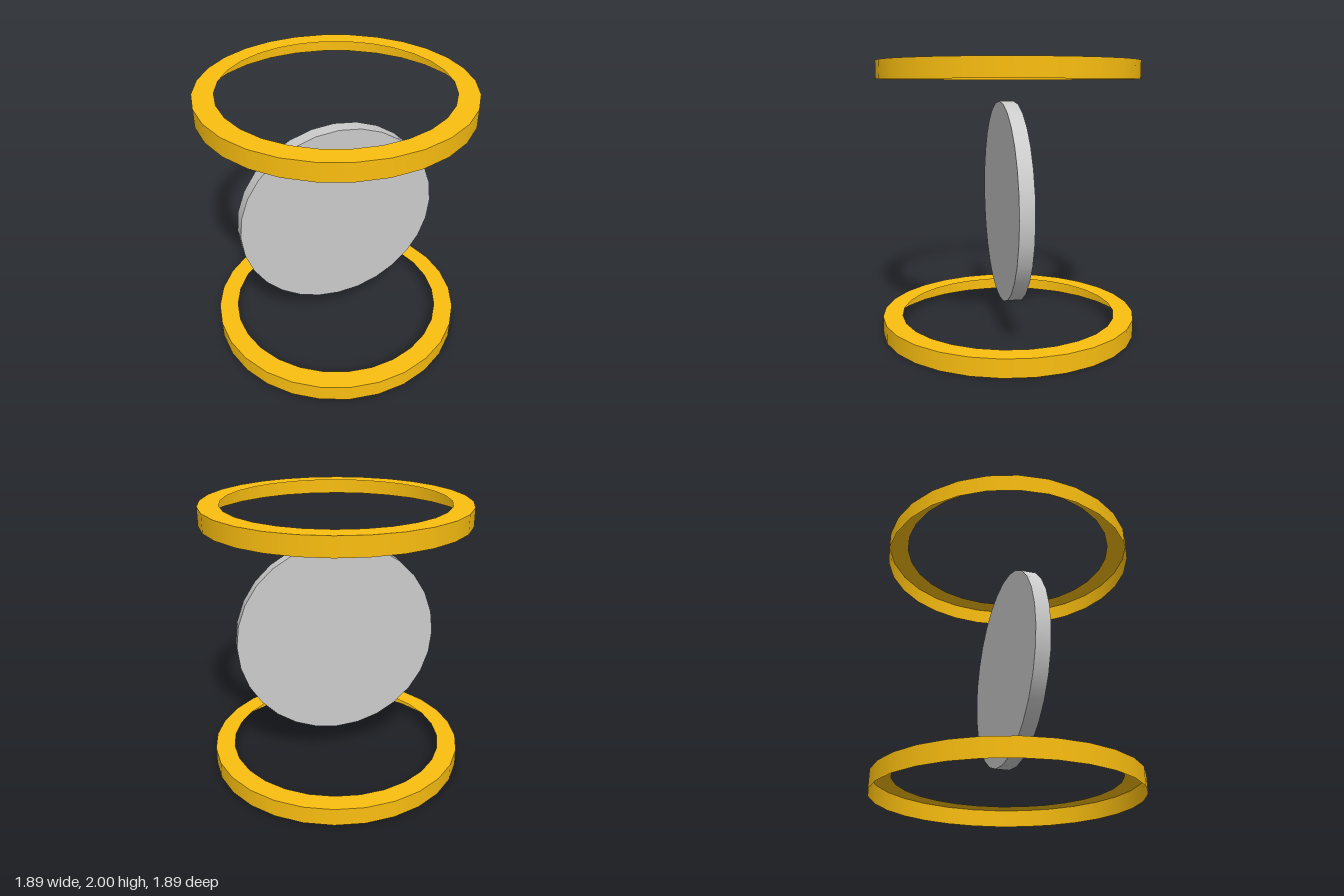
import * as THREE from 'three';

const SIDES = 28;
const gold = new THREE.MeshStandardMaterial({ color: 0xfbbf10, side: THREE.DoubleSide });
const grey = new THREE.MeshStandardMaterial({ color: 0xcccccc });

function addMesh(parent, name, geometry, material) {
  const mesh = new THREE.Mesh(geometry, material);
  mesh.name = name;
  parent.add(mesh);
  return mesh;
}

// Thin-walled hoop: an outer band with a flat inward lip on top, open below
function createRing(name, baseY) {
  const outer = 0.945, inner = 0.8, height = 0.13;
  const ring = new THREE.Group();
  ring.name = name;
  const band = addMesh(ring, 'outerBand',
    new THREE.CylinderGeometry(outer, outer, height, SIDES, 1, true), gold);
  band.position.y = height / 2;
  const lip = addMesh(ring, 'topLip', new THREE.RingGeometry(inner, outer, SIDES), gold);
  lip.rotation.x = -Math.PI / 2;
  lip.position.y = height;
  ring.position.y = baseY;
  return ring;
}

export function createModel() {
  const model = new THREE.Group();
  model.name = 'discBetweenRings';
  model.add(createRing('lowerRing', 0), createRing('upperRing', 1.87));

  // Upright solid disc, set slightly forward of centre
  const disc = addMesh(model, 'disc', new THREE.CylinderGeometry(0.74, 0.74, 0.106, SIDES), grey);
  disc.rotation.x = Math.PI / 2;
  disc.position.set(0, 0.973, 0.013);
  return model;
}
